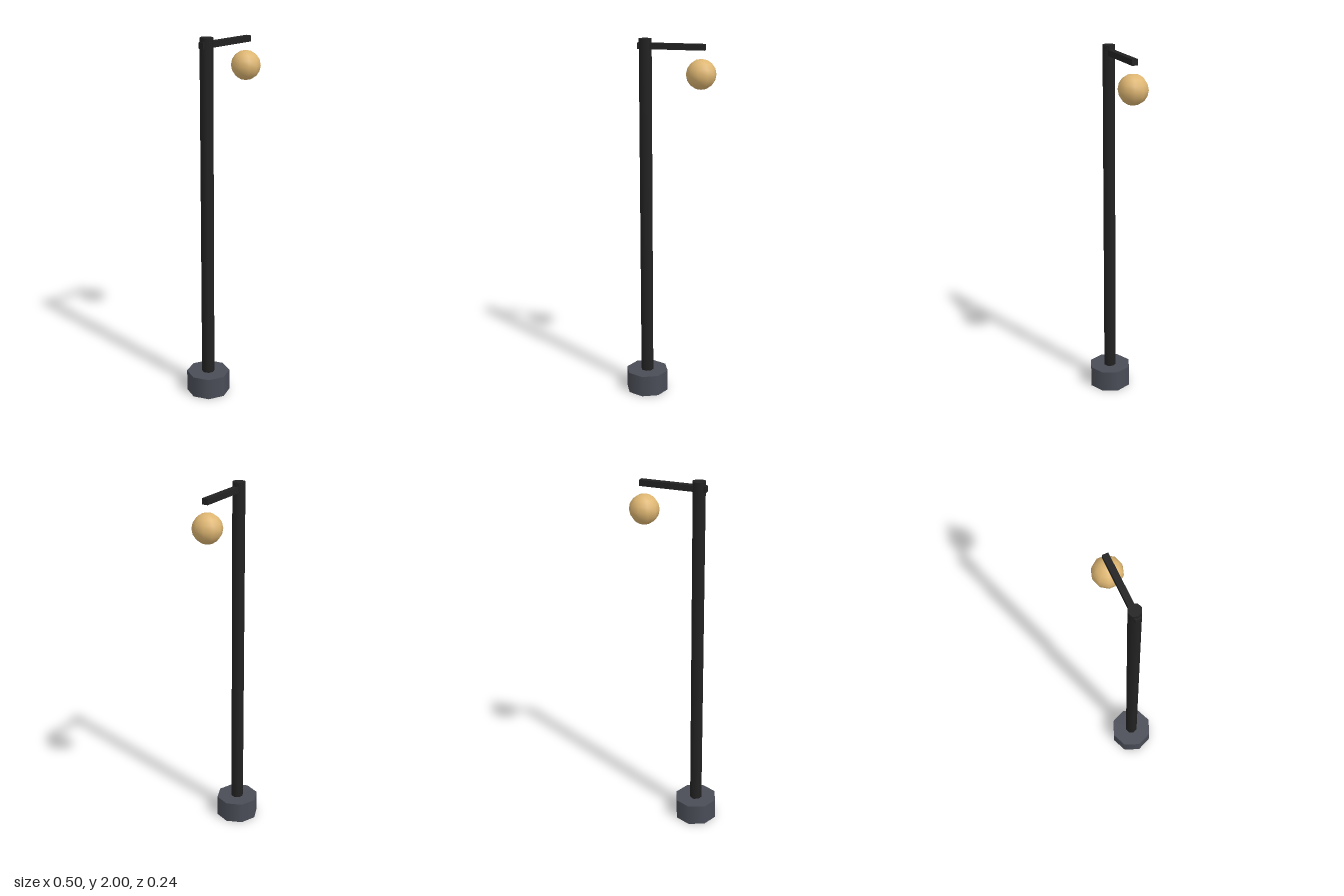
import * as THREE from 'three';

const iron = new THREE.MeshStandardMaterial({ color: 0x222222 });
iron.name = 'black iron';
const stone = new THREE.MeshStandardMaterial({ color: 0x4a4d57 });
stone.name = 'grey base';
const glow = new THREE.MeshStandardMaterial({ color: 0xdeb672 });
glow.name = 'warm lamp';

const POLE_X = -0.129;

function add(group, name, geometry, material, x, y) {
  const mesh = new THREE.Mesh(geometry, material);
  mesh.name = name;
  mesh.position.set(x, y, 0);
  group.add(mesh);
  return mesh;
}

export function createModel() {
  const lamp = new THREE.Group();
  lamp.name = 'streetLamp';

  // Octagonal foot and slender pole
  add(lamp, 'base', new THREE.CylinderGeometry(0.12, 0.12, 0.12, 8), stone, POLE_X, 0.06);
  add(lamp, 'pole', new THREE.CylinderGeometry(0.035, 0.035, 1.88, 8), iron, POLE_X, 1.06);

  // Arm passing through the pole top
  add(lamp, 'arm', new THREE.BoxGeometry(0.36, 0.032, 0.032), iron, 0.011, 1.962);

  // Globe hanging below the arm tip, turned so its seams point front and back
  const globe = add(lamp, 'globe', new THREE.SphereGeometry(0.08, 10, 8), glow, 0.171, 1.822);
  globe.rotation.y = Math.PI / 2;

  return lamp;
}
